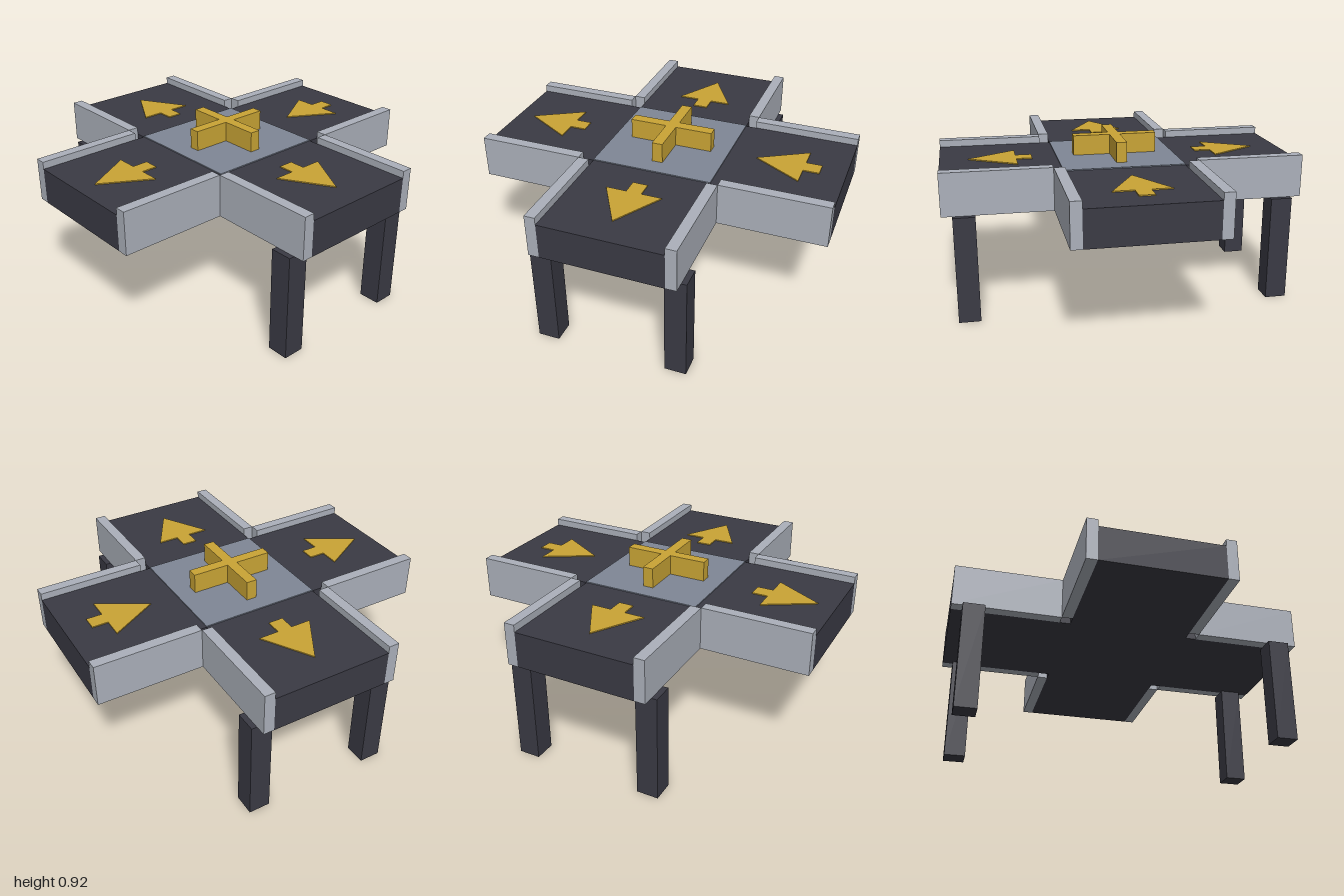
import * as THREE from 'three';

const paint = (name, color) => {
  const m = new THREE.MeshStandardMaterial({ color });
  m.name = name;
  return m;
};

export function createModel() {
  const model = new THREE.Group();
  model.name = 'conveyorCrossing';
  const dark = paint('darkBelt', 0x3a3a44);
  const rail = paint('railGrey', 0xabb0ba);
  const steel = paint('plateSteel', 0x7f8796);
  const gold = paint('gold', 0xc9a435);

  // Box given by its lower and upper corners
  const box = (name, mat, [x0, y0, z0], [x1, y1, z1]) => {
    const mesh = new THREE.Mesh(new THREE.BoxGeometry(x1 - x0, y1 - y0, z1 - z0), mat);
    mesh.position.set((x0 + x1) / 2, (y0 + y1) / 2, (z0 + z1) / 2);
    mesh.name = name;
    model.add(mesh);
  };

  // Belts: one across, two stubs to front and back
  box('crossBelt', dark, [-1, 0.6, -0.34], [1, 0.8, 0.34]);
  box('frontBelt', dark, [-0.34, 0.6, 0.34], [0.34, 0.8, 1]);
  box('backBelt', dark, [-0.34, 0.6, -1], [0.34, 0.8, -0.34]);

  // Centre plate and raised cross divider
  box('centrePlate', steel, [-0.34, 0.8, -0.34], [0.34, 0.806, 0.34]);
  box('dividerAcross', gold, [-0.24, 0.806, -0.03], [0.24, 0.92, 0.03]);
  for (const s of [-1, 1]) {
    box('dividerArm', gold, [-0.03, 0.806, s > 0 ? 0.03 : -0.24], [0.03, 0.92, s > 0 ? 0.24 : -0.03]);
  }

  // Side rails and legs, mirrored into four corners
  for (const sx of [-1, 1]) {
    for (const sz of [-1, 1]) {
      const place = (name, mat, w, h, d, x, y, z) => box(name, mat,
        [sx * x - w / 2, y - h / 2, sz * z - d / 2], [sx * x + w / 2, y + h / 2, sz * z + d / 2]);
      place('sideArmRail', rail, 0.6, 0.24, 0.06, 0.7, 0.72, 0.37);
      place('endArmRail', rail, 0.06, 0.24, 0.6, 0.37, 0.72, 0.7);
      place('leg', dark, 0.12, 0.6, 0.12, 0.88, 0.3, 0.37);
    }
  }

  // Flow arrows, drawn pointing along +x from the tail
  const shape = new THREE.Shape([
    [0, -0.042], [0.09, -0.042], [0.09, -0.157], [0.36, 0],
    [0.09, 0.157], [0.09, 0.042], [0, 0.042],
  ].map(([x, y]) => new THREE.Vector2(x, y)));
  const arrowGeo = new THREE.ExtrudeGeometry(shape, { depth: 0.006, bevelEnabled: false });
  arrowGeo.rotateX(-Math.PI / 2);
  for (const [name, x, z, turn] of [
    ['leftArrow', 0.48, 0, 0],
    ['rightArrow', -0.48, 0, Math.PI],
    ['frontArrow', 0, 0.54, -Math.PI / 2],
    ['backArrow', 0, -0.86, -Math.PI / 2],
  ]) {
    const arrow = new THREE.Mesh(arrowGeo, gold);
    arrow.name = name;
    arrow.position.set(x, 0.8, z);
    arrow.rotation.y = turn;
    model.add(arrow);
  }
  return model;
}
